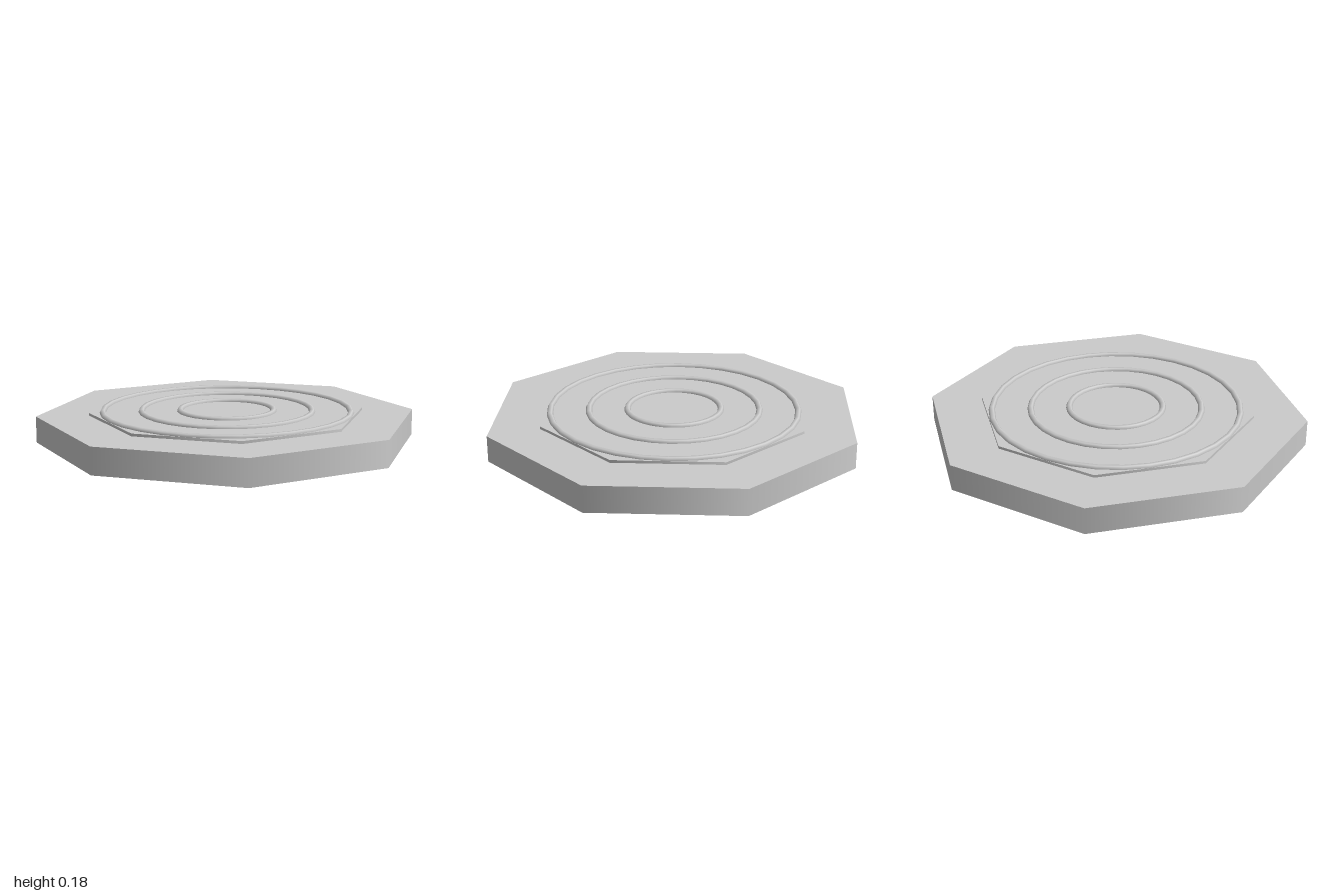
import * as THREE from 'three';

const material = new THREE.MeshStandardMaterial({ color: 0xcccccc });

// Octagonal slab with flat sides facing the axes; apothem is centre to flat side
function octagon(name, apothem, bottom, top) {
  const radius = apothem / Math.cos(Math.PI / 8);
  const geometry = new THREE.CylinderGeometry(radius, radius, top - bottom, 8);
  geometry.rotateY(Math.PI / 8);
  geometry.translate(0, (bottom + top) / 2, 0);
  const mesh = new THREE.Mesh(geometry, material);
  mesh.name = name;
  return mesh;
}

// Raised ring lying flat, half sunk into the upper plate
function ring(name, radius) {
  const geometry = new THREE.TorusGeometry(radius, 0.018, 6, 32);
  geometry.rotateX(-Math.PI / 2);
  geometry.translate(0, 0.165, 0);
  const mesh = new THREE.Mesh(geometry, material);
  mesh.name = name;
  return mesh;
}

export function createModel() {
  const model = new THREE.Group();
  model.name = 'octagonalPad';

  // Base and thin upper plate
  model.add(octagon('base', 1, 0, 0.15));
  model.add(octagon('upperPlate', 0.725, 0.148, 0.165));

  // Concentric rings
  model.add(ring('innerRing', 0.267));
  model.add(ring('middleRing', 0.487));
  model.add(ring('outerRing', 0.707));

  return model;
}
